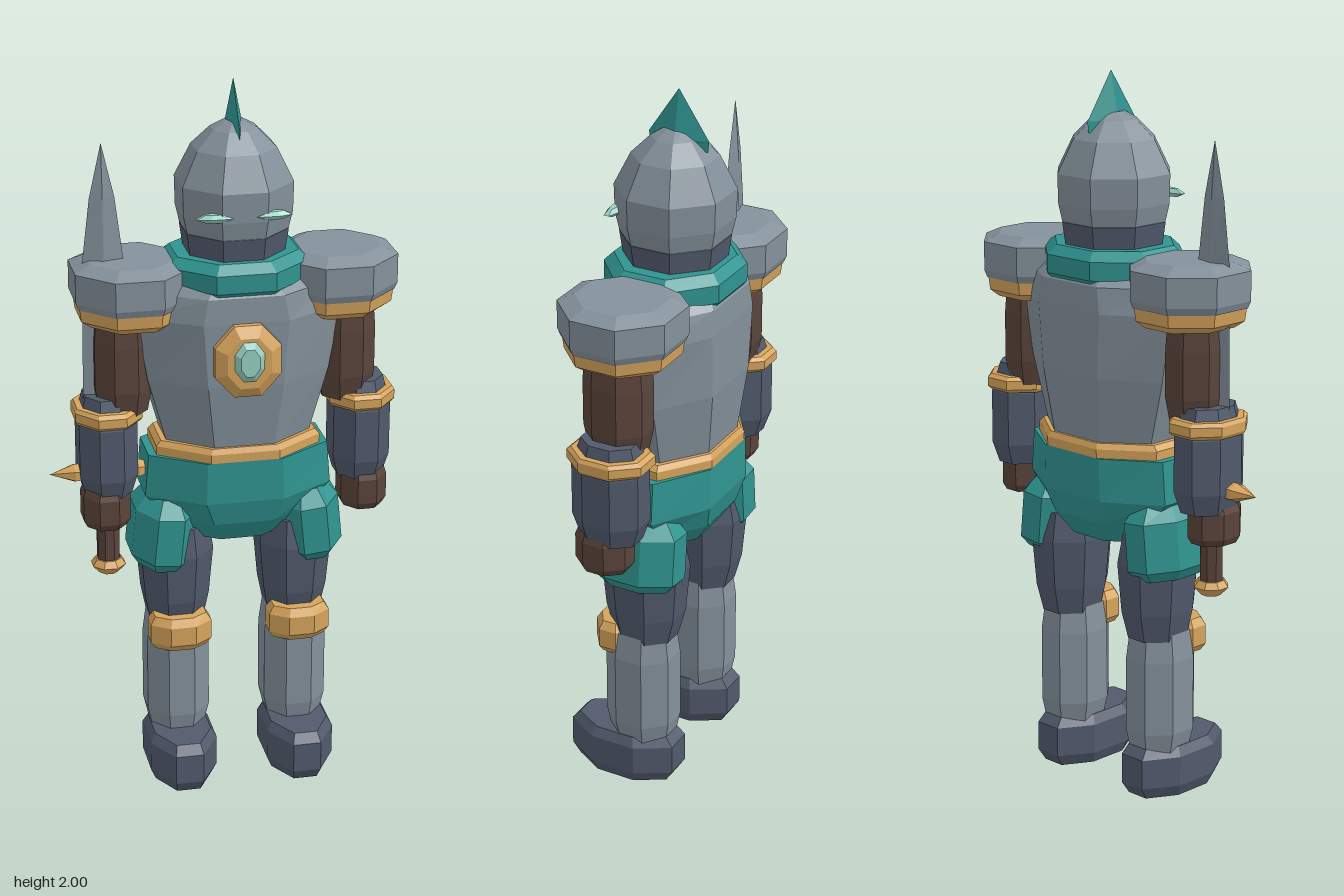
import * as THREE from 'three';

const paint = (name, color) => {
  const m = new THREE.MeshStandardMaterial({ color });
  m.name = name;
  return m;
};

// Faceted solid from stacked rings [y, halfX, halfZ, offsetX, offsetZ]; octagons by default
function loft(rings, sides = 8) {
  const pos = [];
  const start = sides === 8 ? Math.PI / 8 : 0;
  const grow = sides === 8 ? 1 / Math.cos(Math.PI / 8) : 1;
  const pt = (r, i) => {
    const a = start + (i % sides) / sides * Math.PI * 2;
    return [(r[3] || 0) + Math.cos(a) * r[1] * grow, r[0], (r[4] || 0) - Math.sin(a) * r[2] * grow];
  };
  const mid = r => [r[3] || 0, r[0], r[4] || 0];
  const last = rings[rings.length - 1];
  for (let i = 0; i < sides; i++) {
    for (let j = 0; j < rings.length - 1; j++) {
      const a = pt(rings[j], i), b = pt(rings[j], i + 1);
      const c = pt(rings[j + 1], i + 1), d = pt(rings[j + 1], i);
      if (rings[j][1] > 0) pos.push(...a, ...b, ...c);
      if (rings[j + 1][1] > 0) pos.push(...a, ...c, ...d);
    }
    if (rings[0][1] > 0) pos.push(...mid(rings[0]), ...pt(rings[0], i + 1), ...pt(rings[0], i));
    if (last[1] > 0) pos.push(...mid(last), ...pt(last, i), ...pt(last, i + 1));
  }
  const g = new THREE.BufferGeometry();
  g.setAttribute('position', new THREE.Float32BufferAttribute(pos, 3));
  g.computeVertexNormals();
  return g;
}

export function createModel() {
  const steel = paint('steel', 0x84919b);
  const slate = paint('dark slate', 0x515a6c);
  const teal = paint('teal', 0x2f9490);
  const gold = paint('gold', 0xd6a45c);
  const brown = paint('brown leather', 0x5a443b);
  const mint = paint('pale mint', 0x98d0c2);

  const model = new THREE.Group();
  model.name = 'armouredKnight';
  const body = new THREE.Group();
  body.name = 'body';
  body.position.set(0.037, 0, -0.026);
  model.add(body);

  const add = (parent, name, mat, geo, x = 0, y = 0, z = 0) => {
    const mesh = new THREE.Mesh(geo, mat);
    mesh.name = name;
    mesh.position.set(x, y, z);
    parent.add(mesh);
    return mesh;
  };

  // Trunk
  add(body, 'hips', teal, loft([[0.725, 0.14, 0.1], [0.79, 0.2, 0.145], [0.86, 0.26, 0.163], [0.98, 0.25, 0.163]]));
  add(body, 'belt', gold, loft([[0.965, 0.222, 0.158], [0.98, 0.228, 0.163], [1.005, 0.228, 0.163], [1.02, 0.215, 0.155]]));
  add(body, 'torso', steel, loft([[1.0, 0.195, 0.145], [1.2, 0.25, 0.168], [1.38, 0.28, 0.172], [1.45, 0.25, 0.168], [1.49, 0.18, 0.14]]));
  add(body, 'collar', teal, loft([[1.435, 0.165, 0.15], [1.465, 0.195, 0.172], [1.515, 0.195, 0.172], [1.54, 0.165, 0.148]]));

  // Chest badge, bevelled outwards towards the front
  const badge = loft([[0.13, 0.09, 0.1], [0.19, 0.09, 0.1], [0.21, 0.06, 0.07]]).rotateX(Math.PI / 2);
  add(body, 'chestBadge', gold, badge, 0, 1.28, 0);
  const gem = loft([[0.19, 0.04, 0.055], [0.21, 0.04, 0.055], [0.222, 0.026, 0.038]]).rotateX(Math.PI / 2);
  add(body, 'chestGem', mint, gem, 0, 1.285, 0);

  // Head
  add(body, 'neckGuard', slate, loft([[1.5, 0.12, 0.12], [1.54, 0.13, 0.13], [1.6, 0.138, 0.138], [1.61, 0.13, 0.13]]));
  add(body, 'helmet', steel, loft([[1.59, 0.135, 0.135], [1.65, 0.148, 0.148], [1.73, 0.15, 0.15],
    [1.82, 0.108, 0.108], [1.87, 0.06, 0.06], [1.89, 0.025, 0.03]]));
  add(body, 'crest', teal, loft([[1.84, 0.018, 0.085], [1.87, 0.026, 0.088], [2.0, 0, 0]], 4), 0, 0, -0.01);

  for (const s of [-1, 1]) {
    const side = s > 0 ? 'left' : 'right';
    add(body, side + 'Eye', mint, loft([[-0.011, 0.035, 0.01], [0, 0.058, 0.017], [0.011, 0.035, 0.01]]), s * 0.07, 1.665, 0.136);

    // Shoulder and arm
    const arm = new THREE.Group();
    arm.name = side + 'Arm';
    body.add(arm);
    add(arm, 'shoulderPlate', steel, loft([[1.41, 0.15, 0.15], [1.43, 0.158, 0.158], [1.51, 0.158, 0.158], [1.53, 0.115, 0.115]]), s * 0.282);
    add(arm, 'shoulderRim', gold, loft([[1.355, 0.115, 0.12], [1.375, 0.143, 0.143], [1.415, 0.148, 0.148]]), s * 0.282);
    add(arm, 'upperArm', brown, loft([[1.1, 0.066, 0.075], [1.17, 0.078, 0.088], [1.3, 0.078, 0.088], [1.4, 0.07, 0.08]]), s * 0.31);
    add(arm, 'elbowBand', gold, loft([[1.075, 0.086, 0.1], [1.085, 0.092, 0.112], [1.11, 0.092, 0.112], [1.12, 0.086, 0.1]]), s * 0.353);
    add(arm, 'forearm', slate, loft([[0.86, 0.064, 0.08], [0.92, 0.08, 0.1], [1.07, 0.08, 0.1], [1.15, 0.06, 0.075]]), s * 0.355);
    add(arm, 'hand', brown, loft([[0.77, 0.055, 0.065], [0.79, 0.065, 0.076], [0.86, 0.065, 0.076], [0.89, 0.055, 0.065]]), s * 0.363, 0, 0.015);

    // Leg
    const leg = new THREE.Group();
    leg.name = side + 'Leg';
    leg.position.x = s * 0.169;
    body.add(leg);
    add(leg, 'thigh', slate, loft([[0.46, 0.075, 0.085], [0.54, 0.09, 0.105], [0.68, 0.102, 0.116], [0.76, 0.09, 0.1]]));
    add(leg, 'shin', steel, loft([[0.12, 0.072, 0.085], [0.19, 0.088, 0.098], [0.4, 0.088, 0.098], [0.48, 0.078, 0.088]]), 0, 0, 0.01);
    add(leg, 'kneeGuard', gold, loft([[0.405, 0.072, 0.048], [0.425, 0.086, 0.062], [0.48, 0.086, 0.062], [0.502, 0.072, 0.048]]), 0, 0, 0.076);
    add(leg, 'boot', slate, loft([[0, 0.08, 0.14], [0.035, 0.095, 0.162], [0.12, 0.095, 0.162], [0.146, 0.08, 0.14]]), 0, 0, 0.06);
    const plate = add(leg, 'thighPlate', teal, loft([[-0.105, 0.065, 0.105], [-0.075, 0.088, 0.13], [0.06, 0.088, 0.13], [0.105, 0.055, 0.095]]), s * 0.035, 0.748, 0.005);
    plate.rotation.z = s * 0.1;
  }

  // Sword held upright in the right hand
  const sword = new THREE.Group();
  sword.name = 'sword';
  sword.position.set(-0.32, 0, -0.015);
  model.add(sword);
  add(sword, 'blade', steel, loft([[0.92, 0.065, 0.016], [1.53, 0.055, 0.015], [1.7, 0.034, 0.011], [1.85, 0, 0]], 4));
  const guard = loft([[-0.158, 0, 0], [-0.09, 0.026, 0.034], [0.09, 0.026, 0.034], [0.158, 0, 0]], 6).rotateZ(Math.PI / 2);
  add(sword, 'crossGuard', gold, guard, 0, 0.922, 0);
  add(sword, 'grip', brown, loft([[0.64, 0.03, 0.03], [0.92, 0.03, 0.03]]));
  add(sword, 'pommel', gold, loft([[0.618, 0.026, 0.026], [0.642, 0.046, 0.046], [0.66, 0.034, 0.034]]));

  return model;
}
